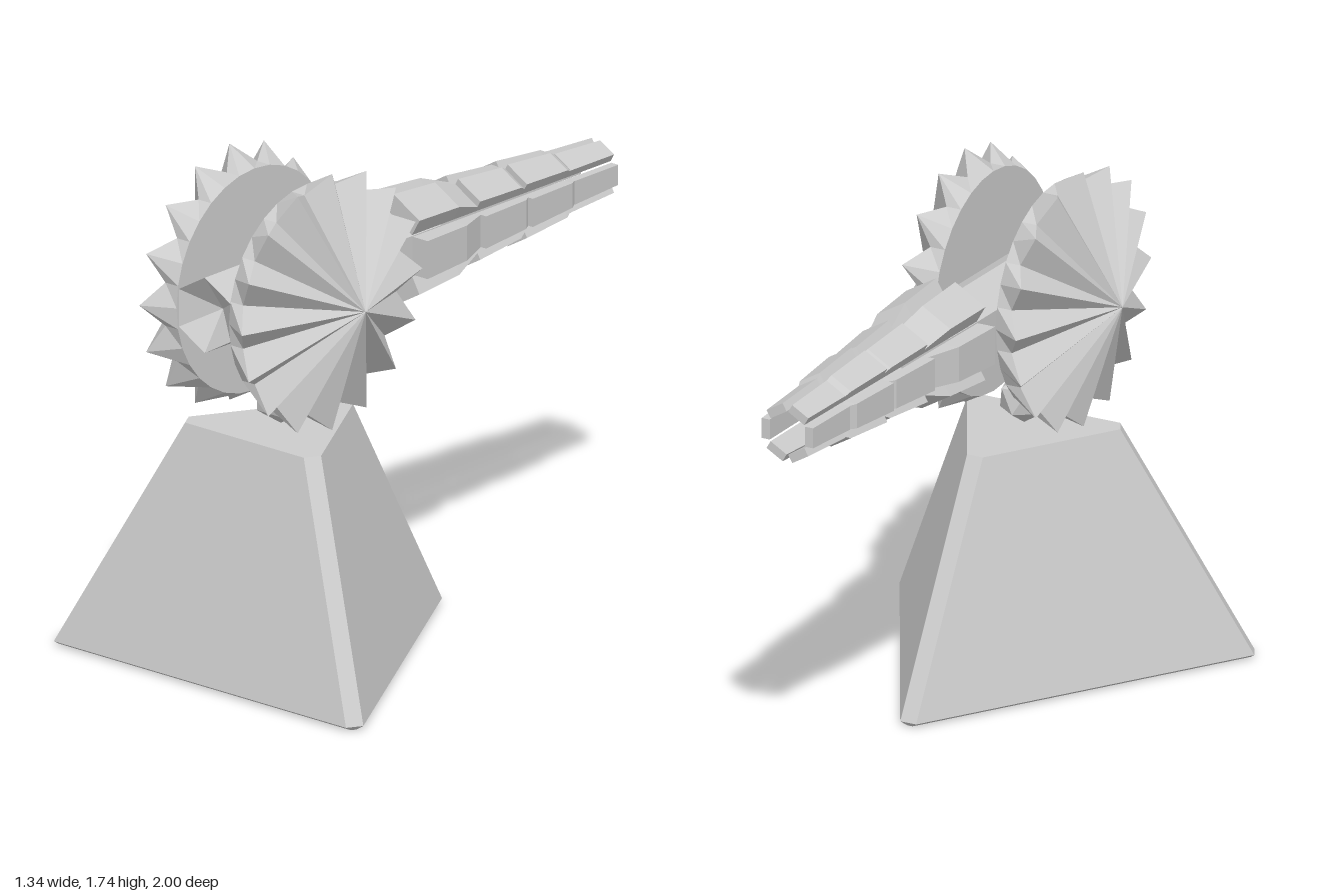
import * as THREE from 'three';

const material = new THREE.MeshStandardMaterial({ color: 0xcccccc, flatShading: true });
const AXIS_Y = 1.29;   // height of the barrel and wheel axis
const CENTRE_Z = 0.555; // wheel and base centre

// Joins rings of points (counter-clockwise about the direction of travel) and closes both ends.
// A tip point replaces the centre of the last end, to make it pointed or dished.
function loft(rings, tip) {
  const pos = [];
  const tri = (...pts) => pts.forEach((p) => pos.push(...p));
  const centre = (ring) => [0, 1, 2].map((k) => ring.reduce((s, p) => s + p[k], 0) / ring.length);
  const first = rings[0], last = rings[rings.length - 1];
  const start = centre(first), end = tip || centre(last), n = first.length;
  for (let j = 0; j < n; j++) {
    const k = (j + 1) % n;
    tri(start, first[k], first[j]);
    for (let i = 0; i + 1 < rings.length; i++) {
      const a = rings[i], b = rings[i + 1];
      tri(a[j], a[k], b[k]);
      tri(a[j], b[k], b[j]);
    }
    tri(end, last[j], last[k]);
  }
  const geo = new THREE.BufferGeometry();
  geo.setAttribute('position', new THREE.Float32BufferAttribute(pos, 3));
  geo.computeVertexNormals();
  return geo;
}

function add(parent, name, geo) {
  const mesh = new THREE.Mesh(geo, material);
  mesh.name = name;
  parent.add(mesh);
  return mesh;
}

// Triangle with cut corners: long sides and short corner sides
function cutTriangle(y, long, short) {
  const inradius = (long + 2 * short) / (2 * Math.sqrt(3));
  const pts = [];
  for (let k = 0; k < 3; k++) {
    const s = Math.sin((k * 2 * Math.PI) / 3), c = Math.cos((k * 2 * Math.PI) / 3);
    for (const h of [-long / 2, long / 2]) {
      pts.push([s * inradius + c * h, y, c * inradius - s * h]);
    }
  }
  return pts;
}

// Ring around the x axis; odd points may sit at another radius and x
function wheelRing(x, r, oddX = x, oddR = r) {
  return Array.from({ length: 32 }, (_, i) => {
    const a = (i * Math.PI) / 16, odd = i % 2;
    const rad = odd ? oddR : r;
    return [odd ? oddX : x, rad * Math.cos(a), rad * Math.sin(a)];
  });
}

function hexRing(z, r) {
  return Array.from({ length: 6 }, (_, i) => {
    const a = Math.PI / 2 + (i * Math.PI) / 3;
    return [r * Math.cos(a), r * Math.sin(a), z];
  });
}

// Cross-section of one barrel plate: outer distance and half width at z
function plateRing([z, outer, w]) {
  const inner = w * Math.sqrt(3) + 0.006;
  return [[outer, -w, z], [outer, w, z], [inner, w, z], [inner, -w, z]];
}

export function createModel() {
  const model = new THREE.Group();
  model.name = 'turret';

  // Tapered three-sided base with a narrow bevel underneath
  const base = add(model, 'base', loft([
    cutTriangle(0, 1.28, 0.02),
    cutTriangle(0.014, 1.28, 0.06),
    cutTriangle(0.805, 0.52, 0.06),
  ]));
  base.position.z = CENTRE_Z - 0.005;

  // Faceted pivot ball, one corner straight up
  const ball = new THREE.IcosahedronGeometry(0.09, 0);
  ball.rotateZ(Math.atan(2 / (1 + Math.sqrt(5))));
  ball.rotateY(Math.PI / 2);
  add(model, 'pivotBall', ball).position.set(0, 0.908, CENTRE_Z);

  // Spiked wheels on both sides
  const wheel = loft([
    wheelRing(0.115, 0.385),
    wheelRing(0.225, 0.445, 0.17, 0.385),
  ], [0.372, 0, 0]);
  for (const side of [1, -1]) {
    const mesh = add(model, side > 0 ? 'leftWheel' : 'rightWheel', wheel);
    mesh.position.set(0, AXIS_Y, CENTRE_Z);
    if (side < 0) mesh.rotation.y = Math.PI;
  }

  // Six-sided body with a dished front end
  const barrel = new THREE.Group();
  barrel.name = 'barrel';
  barrel.position.y = AXIS_Y;
  model.add(barrel);
  add(barrel, 'barrelCore', loft([hexRing(-0.12, 0.12), hexRing(0.03, 0.131), hexRing(0.93, 0.131)], [0, 0, 0.84]));

  // Stepped plates around the barrel: [z, outer distance, half width], back to front
  const segments = [
    [[-1, 0.097, 0.035], [-0.775, 0.108, 0.041]],
    [[-0.775, 0.105, 0.041], [-0.75, 0.119, 0.043], [-0.535, 0.136, 0.049]],
    [[-0.535, 0.115, 0.049], [-0.51, 0.13, 0.05], [-0.29, 0.149, 0.056]],
    [[-0.29, 0.125, 0.056], [-0.17, 0.171, 0.061], [0.04, 0.186, 0.066]],
  ];
  const plates = segments.map((s) => loft(s.map(plateRing)));
  for (let i = 0; i < 6; i++) {
    const row = new THREE.Group();
    row.name = 'barrelPlateRow';
    row.rotation.z = (i * Math.PI) / 3;
    plates.forEach((geo) => add(row, 'barrelPlate', geo));
    barrel.add(row);
  }
  return model;
}
